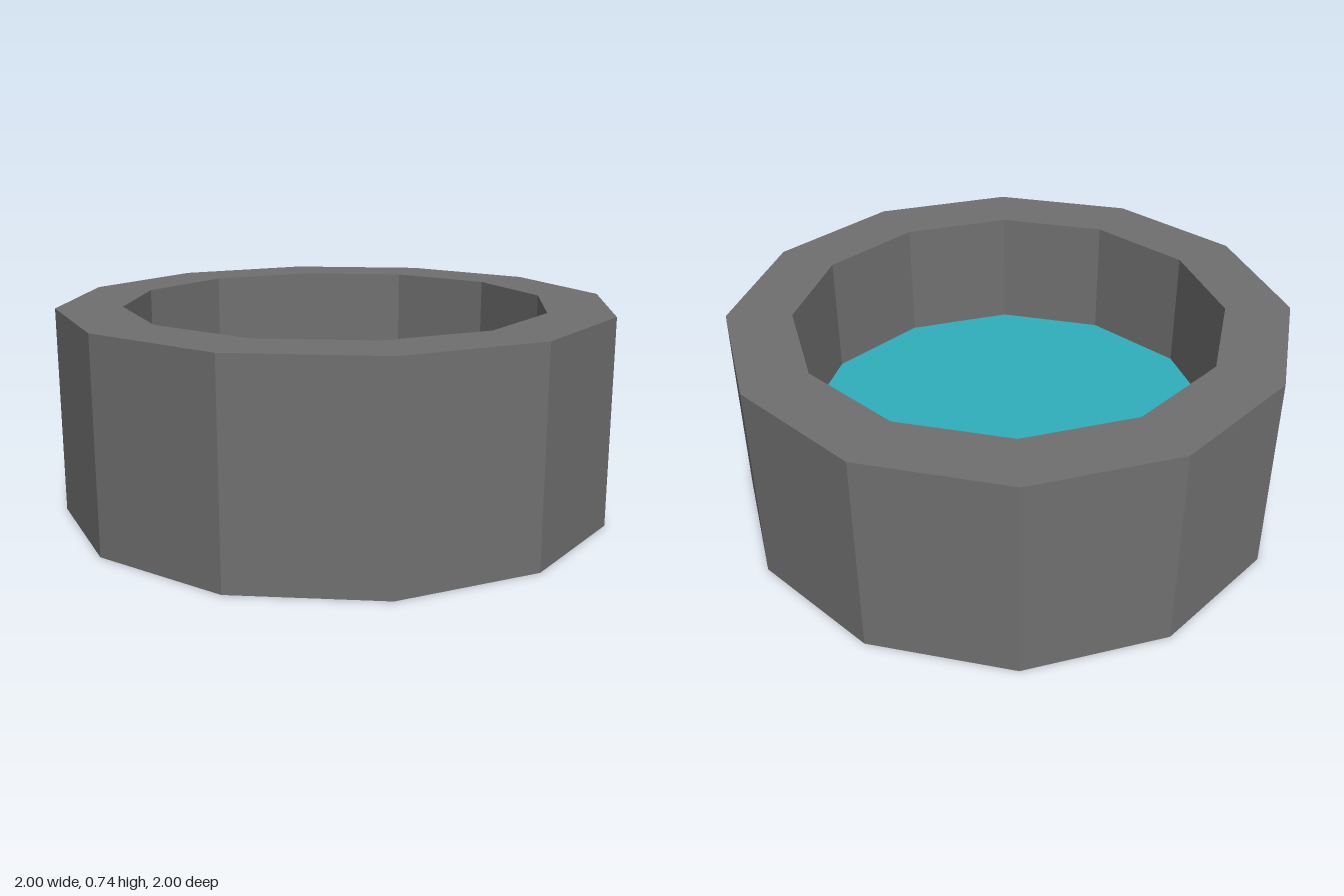
import * as THREE from 'three';

const SIDES = 12;
const OUTER = 1, INNER = 0.767, HEIGHT = 0.74, WATER_Y = 0.295;

export function createModel() {
  const group = new THREE.Group();
  group.name = 'waterBasin';

  // Basin: closed base, outer wall, flat rim and inner wall down to the water
  const profile = [
    [0, 0], [OUTER, 0], [OUTER, HEIGHT], [INNER, HEIGHT], [INNER, WATER_Y],
  ].map(([r, y]) => new THREE.Vector2(r, y));
  const basin = new THREE.Mesh(
    new THREE.LatheGeometry(profile, SIDES),
    new THREE.MeshStandardMaterial({ color: 0x707070, flatShading: true })
  );
  basin.name = 'basin';
  group.add(basin);

  // Water surface filling the hollow
  const water = new THREE.Mesh(
    new THREE.CircleGeometry(INNER, SIDES).rotateX(-Math.PI / 2),
    new THREE.MeshStandardMaterial({ color: 0x2eb0bd, flatShading: true })
  );
  water.name = 'water';
  water.position.y = WATER_Y;
  group.add(water);

  return group;
}
